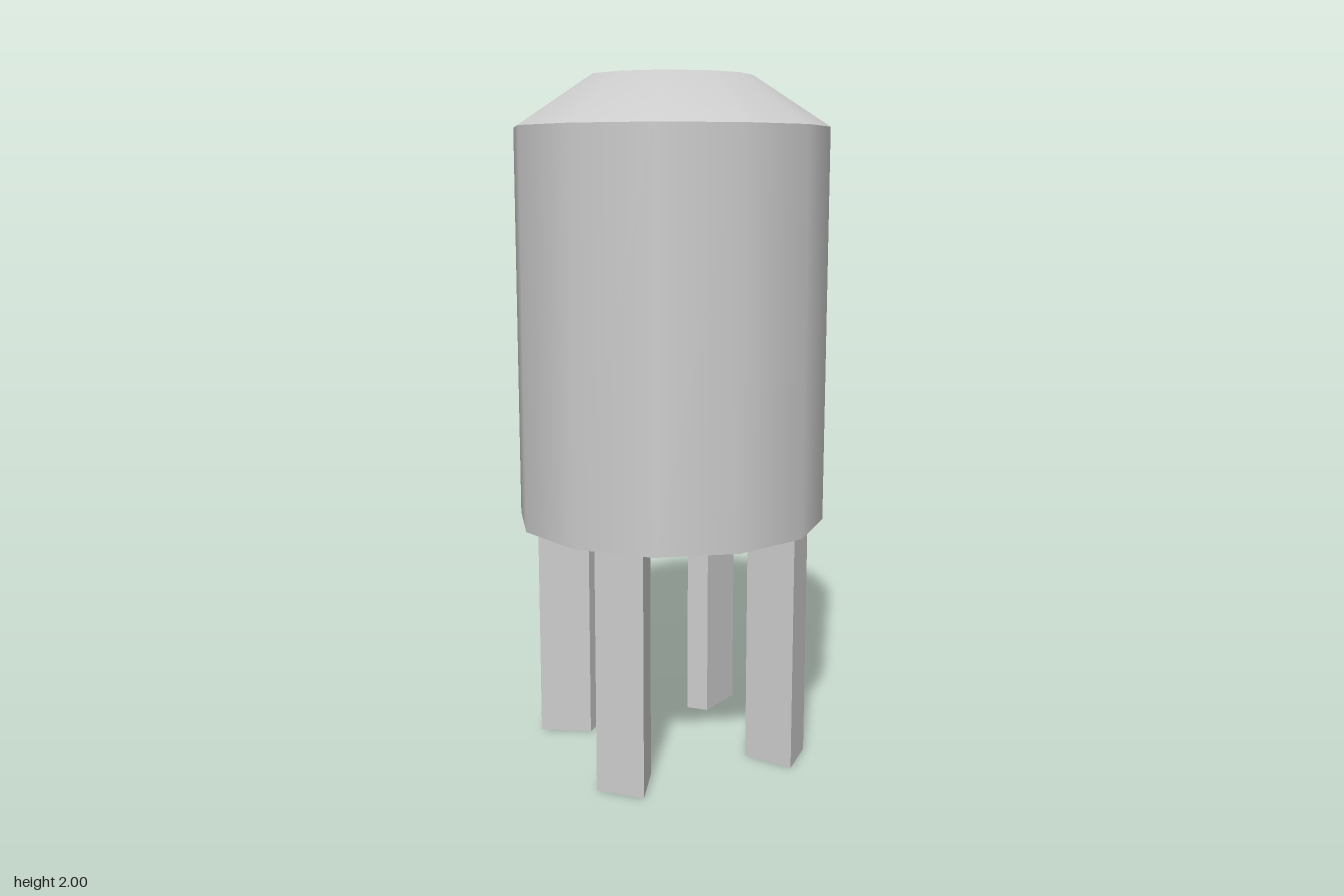
import * as THREE from 'three';

const SIDES = 12;
const RADIUS = 0.455;
const BODY_BOTTOM = 0.715;
const BODY_TOP = 1.857;

export function createModel() {
  const group = new THREE.Group();
  const material = new THREE.MeshStandardMaterial({ color: 0xcccccc });

  const add = (name, geometry) => {
    const mesh = new THREE.Mesh(geometry, material);
    mesh.name = name;
    group.add(mesh);
    return mesh;
  };

  // Twelve-sided tank body with smooth walls and flat ends
  const height = BODY_TOP - BODY_BOTTOM;
  add('tankBody', new THREE.CylinderGeometry(RADIUS, RADIUS, height, SIDES))
    .position.y = BODY_BOTTOM + height / 2;

  // Smoothly shaded sloping roof with a flat crown
  const roofProfile = [
    new THREE.Vector2(RADIUS, BODY_TOP),
    new THREE.Vector2(0.235, 2),
    new THREE.Vector2(0, 2),
  ];
  add('roof', new THREE.LatheGeometry(roofProfile, SIDES));

  // Four wedge-shaped legs, wide outside and narrow inside, around the axis
  const footprint = new THREE.Shape([
    new THREE.Vector2(-0.072, -0.406),
    new THREE.Vector2(0.072, -0.406),
    new THREE.Vector2(0.034, -0.254),
    new THREE.Vector2(-0.034, -0.254),
  ]);
  const legGeometry = new THREE.ExtrudeGeometry(footprint, { depth: BODY_BOTTOM, bevelEnabled: false });
  legGeometry.rotateX(-Math.PI / 2);
  for (let i = 0; i < 4; i++) {
    add('leg' + (i + 1), legGeometry).rotation.y = Math.PI / 12 + (i * Math.PI) / 2;
  }

  return group;
}
